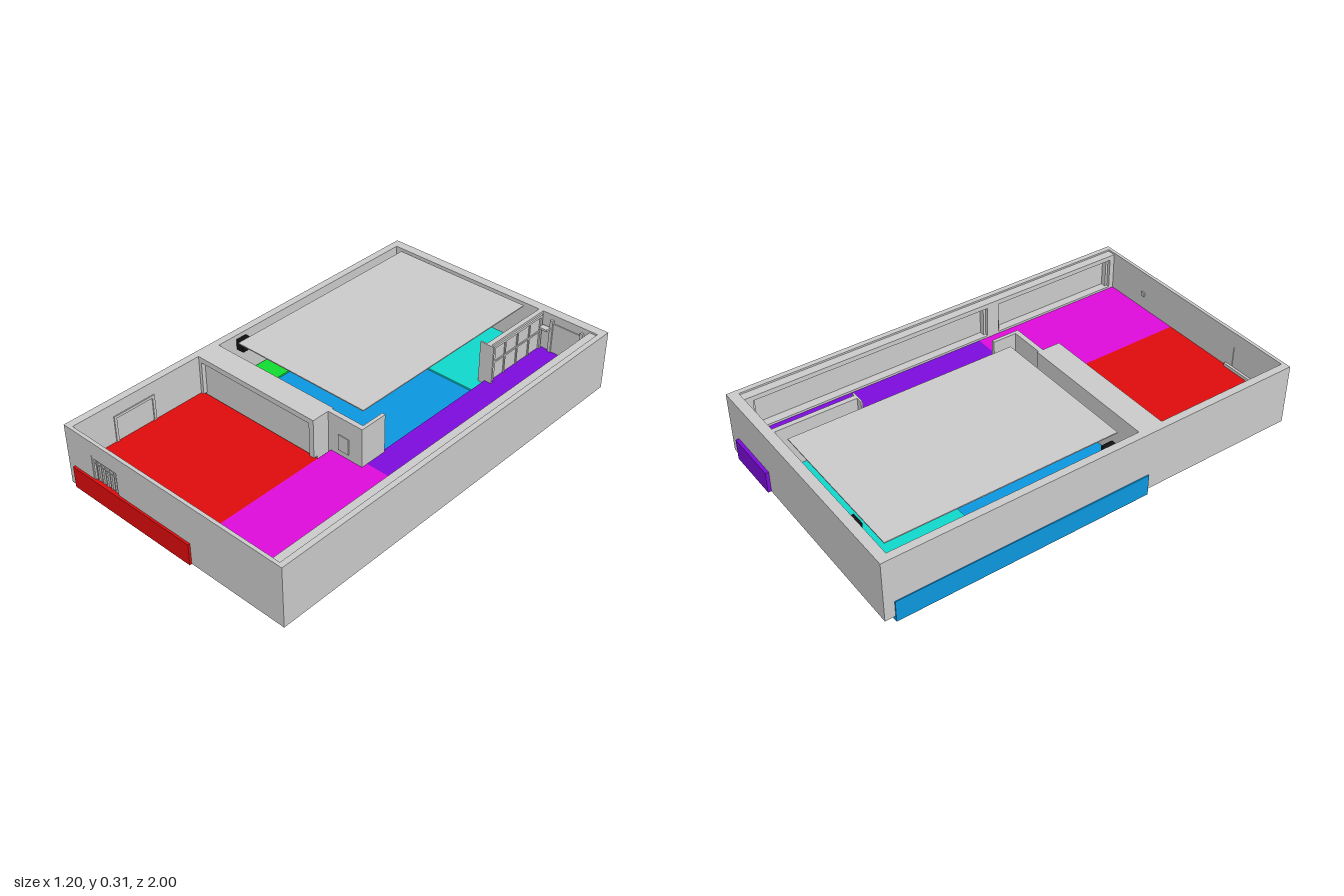
import * as THREE from 'three';

const mat = (color) => new THREE.MeshStandardMaterial({ color });
const GREY = mat(0xcccccc);
const BLACK = mat(0x111111);
const BOTTOM = 0.025, TOP = 0.31, FLOOR = 0.125;

export function createModel() {
  const model = new THREE.Group();

  // Box given by its extents along each axis
  const box = (name, [x0, x1], [y0, y1], [z0, z1], material = GREY, parent = model) => {
    const mesh = new THREE.Mesh(new THREE.BoxGeometry(x1 - x0, y1 - y0, z1 - z0), material);
    mesh.position.set((x0 + x1) / 2, (y0 + y1) / 2, (z0 + z1) / 2);
    mesh.name = name;
    parent.add(mesh);
    return mesh;
  };

  // Wall lying along x with rectangular holes [x0, x1, y0, y1]
  const wallAlongX = (name, [x0, x1], [y0, y1], [z0, z1], holes = []) => {
    const rect = (path, a, b, c, d) => path.moveTo(a, c).lineTo(b, c).lineTo(b, d).lineTo(a, d).closePath();
    const shape = new THREE.Shape();
    rect(shape, x0, x1, y0, y1);
    for (const h of holes) {
      const path = new THREE.Path();
      rect(path, ...h);
      shape.holes.push(path);
    }
    const geo = new THREE.ExtrudeGeometry(shape, { depth: z1 - z0, bevelEnabled: false });
    const mesh = new THREE.Mesh(geo, GREY);
    mesh.position.z = z0;
    mesh.name = name;
    model.add(mesh);
  };

  // Raised frame on a wall running along z
  const frameAlongZ = (name, [x0, x1], [y0, y1], [z0, z1], t = 0.012) => {
    const g = new THREE.Group();
    g.name = name;
    box('topRail', [x0, x1], [y1 - t, y1], [z0, z1], GREY, g);
    for (const z of [z0, z1 - t]) box('post', [x0, x1], [y0, y1 - t], [z, z + t], GREY, g);
    model.add(g);
  };

  // Coloured floor slabs, some reaching out past the walls
  box('blueFloor', [-0.6, 0.27], [0, 0.1], [-0.94, 0.24], mat(0x0c97e0));
  box('redFloor', [-0.56, 0.113], [0.024, FLOOR], [0.31, 1], mat(0xe00c0c));
  box('magentaFloor', [0.113, 0.53], [0.0245, FLOOR], [0.205, 0.98], mat(0xe00cdc));
  box('purpleFloor', [0.27, 0.53], [0.0255, FLOOR], [-1, 0.205], mat(0x7d0cdc));
  box('cyanFloor', [-0.39, 0.27], [0.09, 0.108], [-0.94, -0.49], mat(0x10d8cc));
  box('greenFloor', [-0.555, -0.42], [0.09, 0.107], [-0.9, 0.13], mat(0x10dc30));
  box('baseSlab', [-0.59, 0.59], [BOTTOM, 0.06], [-0.98, 0.985]);

  // Outer walls
  box('rightWall', [-0.595, -0.56], [BOTTOM, TOP], [-0.985, 0.99]);
  box('leftWall', [0.57, 0.595], [BOTTOM, TOP], [-0.985, 0.99]);
  box('backWall', [-0.56, 0.57], [BOTTOM, TOP], [-0.985, -0.94]);
  const win = [-0.44, -0.287, FLOOR, 0.24];
  wallAlongX('frontWall', [-0.56, 0.57], [BOTTOM, TOP], [0.974, 0.99], [win]);

  // Barred window in the front wall
  const grille = new THREE.Group();
  grille.name = 'frontWindow';
  box('pane', [win[0], win[1]], [win[2], win[3]], [0.977, 0.98], GREY, grille);
  box('lintel', [win[0], win[1]], [0.228, 0.24], [0.98, 0.988], GREY, grille);
  for (const x of [win[0], win[1] - 0.01]) box('jamb', [x, x + 0.01], [FLOOR, 0.228], [0.98, 0.988], GREY, grille);
  for (let i = 1; i < 6; i++) {
    const x = win[0] + i * (win[1] - win[0]) / 6;
    box('bar', [x - 0.003, x + 0.003], [FLOOR, 0.222], [0.98, 0.986], GREY, grille);
  }
  box('crossBar', [win[0], win[1]], [0.205, 0.211], [0.98, 0.986], GREY, grille);
  model.add(grille);
  box('windowSill', [-0.48, -0.25], [FLOOR, 0.14], [0.962, 0.974]);
  box('cornerPost', [-0.56, -0.48], [FLOOR, 0.2], [0.952, 0.974]);
  box('wallSwitch', [0.3, 0.32], [0.19, 0.21], [0.968, 0.974]);

  // Inner lining of the left wall with two wide window bays
  box('liningTop', [0.53, 0.57], [0.28, 0.302], [-0.94, 0.974]);
  box('liningBase', [0.53, 0.57], [BOTTOM, FLOOR + 0.01], [-0.94, 0.974]);
  for (const [z0, z1] of [[-0.94, -0.9], [0.25, 0.31], [0.95, 0.974]])
    box('liningPost', [0.53, 0.57], [FLOOR, 0.29], [z0, z1]);
  for (const [z0, z1] of [[-0.9, 0.25], [0.31, 0.95]])
    frameAlongZ('bayFrame', [0.545, 0.57], [FLOOR, 0.28], [z0, z1]);

  // Wardrobe partition behind the red room, with a recessed front
  box('partition', [-0.57, 0.1], [0.06, TOP], [0.205, 0.3]);
  box('partitionHead', [-0.57, 0.1], [0.285, TOP], [0.3, 0.32]);
  for (const [x0, x1] of [[-0.57, -0.545], [0.075, 0.1]])
    box('partitionSide', [x0, x1], [FLOOR, 0.285], [0.3, 0.32]);

  // Short corner walls between the rooms
  box('cornerWall', [0.1, 0.28], [0.06, TOP], [0.212, 0.235]);
  box('cornerReturn', [0.264, 0.28], [0.06, TOP], [0.1, 0.212]);
  box('wallPanel', [0.155, 0.21], [0.15, 0.225], [0.235, 0.239]);

  // Closet wall with a gridded side
  box('closetWall', [0.265, 0.288], [0.06, TOP], [-0.94, -0.57]);
  box('closetEnd', [0.235, 0.305], [0.1, TOP], [-0.57, -0.562]);
  frameAlongZ('closetFrame', [0.288, 0.296], [FLOOR, 0.3], [-0.93, -0.58]);
  for (let i = 1; i < 4; i++) {
    const z = -0.93 + i * 0.0875;
    box('closetRib', [0.288, 0.293], [FLOOR, 0.29], [z - 0.004, z + 0.004]);
  }
  box('closetShelf', [0.288, 0.293], [0.21, 0.218], [-0.93, -0.58]);

  // Doors set against the walls
  frameAlongZ('sideDoorFrame', [-0.572, -0.555], [FLOOR, 0.25], [0.57, 0.78]);
  box('backDoor', [0.35, 0.49], [FLOOR, 0.27], [-0.94, -0.935]);
  for (const x of [0.335, 0.49]) box('backDoorJamb', [x, x + 0.015], [FLOOR, 0.285], [-0.94, -0.928]);
  box('cornerBracket', [0.3, 0.34], [0.24, 0.25], [-0.93, -0.9]);

  // Flat roof over the large room and two dark wall units
  box('roofPanel', [-0.512, 0.198], [0.305, TOP], [-0.918, 0.138]);
  box('sideWallUnit', [-0.56, -0.52], [0.24, 0.29], [0.05, 0.105], BLACK);
  box('backWallUnit', [-0.36, -0.3], [0.24, 0.29], [-0.94, -0.918], BLACK);

  return model;
}
